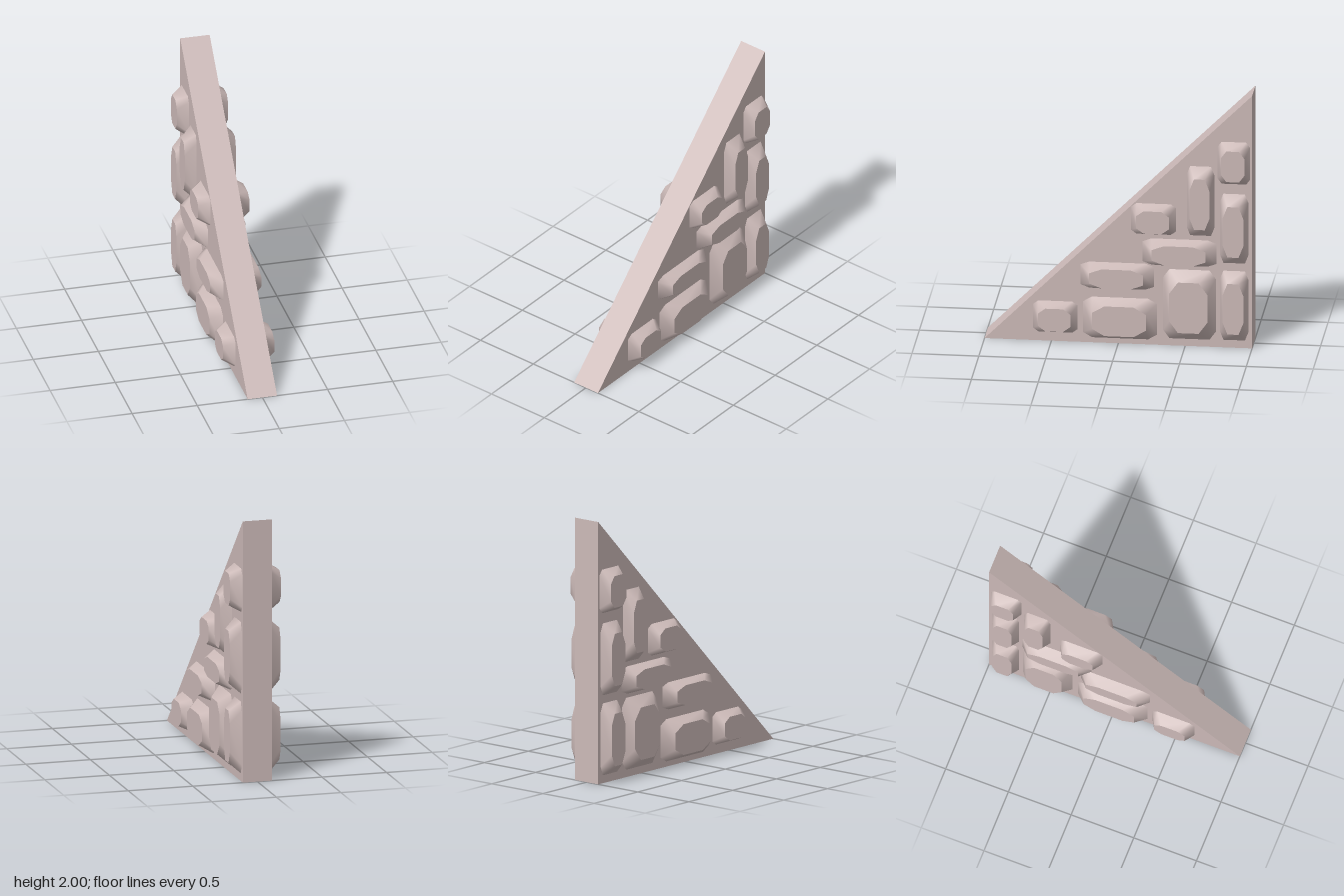
import * as THREE from 'three';

const HALF = 0.113;  // half thickness of the wall
const OUT = 0.197;   // how far the stones reach from the middle plane

// stones as [z, y, length along z, height]
const STONES = [
  [-0.864, 1.463, 0.242, 0.332],
  [-0.615, 1.153, 0.206, 0.548],
  [-0.866, 0.944, 0.212, 0.548],
  [-0.264, 0.996, 0.336, 0.242],
  [-0.458, 0.738, 0.552, 0.208],
  [0.008, 0.536, 0.552, 0.206],
  [-0.013, 0.201, 0.552, 0.322],
  [-0.532, 0.33, 0.394, 0.548],
  [-0.866, 0.334, 0.212, 0.548],
  [0.471, 0.193, 0.334, 0.246],
];

// rectangle with cut corners, anticlockwise seen from +x
function octagon(x, len, hgt, cut) {
  const a = 0.5, b = 0.5 - cut;
  return [[a, -b], [a, b], [b, a], [-b, a], [-a, b], [-a, -b], [-b, -a], [b, -a]]
    .map(([y, z]) => [x, y * hgt, z * len]);
}

// tapering stone: smooth sloped sides and a flat face
function stoneGeometry(len, hgt) {
  const base = octagon(HALF, len, hgt, 0.12);
  const face = octagon(OUT, len * 0.73, hgt * 0.73, 0.23);
  const index = [];
  for (let i = 0; i < 8; i++) {
    const j = (i + 1) % 8;
    index.push(i, j, 8 + j, i, 8 + j, 8 + i);
    if (i > 0 && i < 7) index.push(16, 16 + i, 17 + i);
  }
  const geo = new THREE.BufferGeometry();
  geo.setAttribute('position', new THREE.Float32BufferAttribute([...base, ...face, ...face].flat(), 3));
  geo.setIndex(index);
  geo.computeVertexNormals();
  return geo;
}

export function createModel() {
  const group = new THREE.Group();
  const material = new THREE.MeshStandardMaterial({ color: 0xccbab8 });

  // triangular wall slab
  const shape = new THREE.Shape([[1, 0], [-1, 2], [-1, 0]].map(([z, y]) => new THREE.Vector2(z, y)));
  const slab = new THREE.ExtrudeGeometry(shape, { depth: HALF * 2, bevelEnabled: false });
  slab.translate(0, 0, -HALF).rotateY(-Math.PI / 2);
  const wall = new THREE.Mesh(slab, material);
  wall.name = 'wall';
  group.add(wall);

  // raised stones on both sides
  for (const [z, y, len, hgt] of STONES) {
    const geo = stoneGeometry(len, hgt);
    for (const side of ['left', 'right']) {
      const stone = new THREE.Mesh(geo, material);
      stone.name = side + 'Stone';
      stone.position.set(0, y, z);
      if (side === 'right') stone.rotation.y = Math.PI;
      group.add(stone);
    }
  }
  return group;
}
